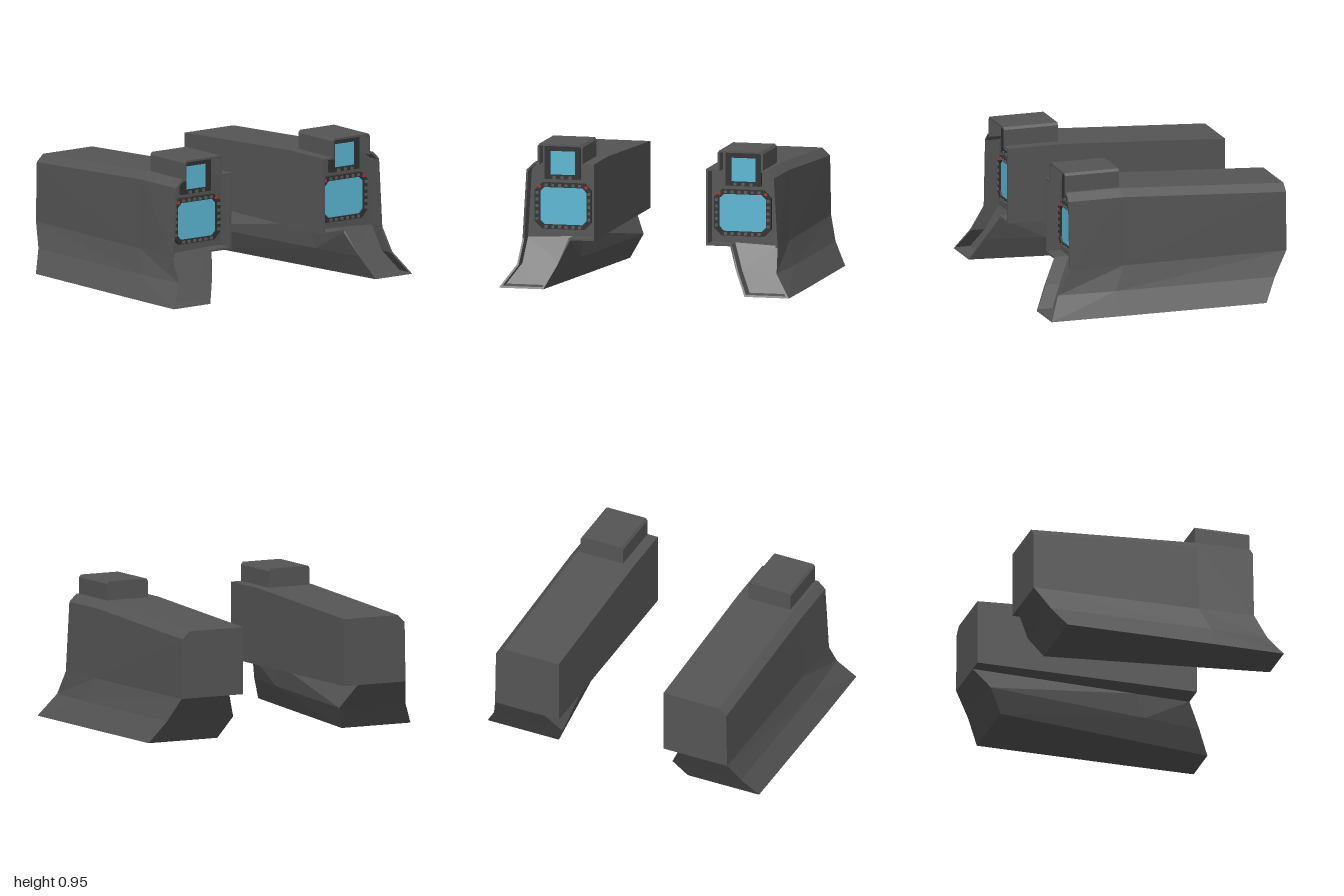
import * as THREE from 'three';

const mat = (color) => new THREE.MeshStandardMaterial({ color, flatShading: true });
const bodyMat = mat(0x555555);
const bezelMat = mat(0x303030);
const buttonMat = mat(0x5c5c5c);
const redMat = mat(0xb83030);
const glassMat = mat(0x5bb8d4);

const RECESS = 0.1, RIM = 0.013;

function mesh(name, geometry, material, x = 0, y = 0, z = 0) {
  const m = new THREE.Mesh(geometry, material);
  m.name = name;
  m.position.set(x, y, z);
  return m;
}

// Skins neighbouring closed loops of [x, y, z] points with flat quads
function loft(out, loops) {
  for (let i = 0; i < loops.length - 1; i++) {
    const p = loops[i], q = loops[i + 1], n = p.length;
    for (let j = 0; j < n; j++) {
      const k = (j + 1) % n;
      out.push(p[j], p[k], q[k], p[j], q[k], q[j]);
    }
  }
}

// Fills an outline in the y-z plane, facing +x (dir 1) or -x (dir -1)
function cap(out, pts, dir) {
  const flat = pts.map((p) => new THREE.Vector2(p[2], p[1]));
  for (const [a, b, c] of THREE.ShapeUtils.triangulateShape(flat, [])) {
    const area = flat[b].clone().sub(flat[a]).cross(flat[c].clone().sub(flat[a]));
    if (area * dir < 0) out.push(pts[a], pts[b], pts[c]);
    else out.push(pts[a], pts[c], pts[b]);
  }
}

// End cap of a console section: upright upper part, then two sloping bands
function endCap(out, loop, dir) {
  const n = loop.length;
  const [D, E, F, G, H, I, J] = loop.slice(n - 7);
  cap(out, [...loop.slice(0, n - 7), D, I, J], dir);
  cap(out, [I, D, E, H], dir);
  cap(out, [H, E, F, G], dir);
}

// Front edge of the console kicks forward towards the foot
function frontX(y) {
  if (y >= 0.31) return 0.68;
  return y > 0.15 ? 0.77 - (y - 0.15) * 0.5625 : 0.85 - y * 0.533;
}

// Mitred inward offset of a front loop
function inset(loop, d) {
  const n = loop.length;
  const normal = (a, b) => new THREE.Vector2(b[1] - a[1], a[2] - b[2]).normalize();
  return loop.map((p, i) => {
    const n1 = normal(loop[(i + n - 1) % n], p), n2 = normal(p, loop[(i + 1) % n]);
    const m = n1.clone().add(n2).multiplyScalar(d / (1 + n1.dot(n2)));
    const y = p[1] + m.y;
    return [frontX(y), y, p[2] + m.x];
  });
}

function bodyGeometry() {
  // Loops run: inner top, outer top, bevel, waist, flare, foot, and back up the inside
  const rear = [
    [-0.85, 0.76, 0.385], [-0.85, 0.76, 0.795], [-0.85, 0.71, 0.848], [-0.85, 0.31, 0.855],
    [-0.75, 0.15, 0.91], [-0.66, 0, 1], [-0.66, 0, 0.475], [-0.75, 0.15, 0.405],
    [-0.85, 0.31, 0.49], [-0.85, 0.31, 0.385],
  ];
  const mid = [
    [0.3, 0.825, 0.385], [0.3, 0.825, 0.795], [0.3, 0.775, 0.848], [0.3, 0.31, 0.865],
    [0.37, 0.15, 0.91], [0.37, 0, 1], [0.37, 0, 0.62], [0.37, 0.15, 0.555],
    [0.3, 0.31, 0.535], [0.3, 0.31, 0.385],
  ];
  const front = [
    [0.68, 0.825, 0.385], [0.68, 0.825, 0.795], [0.68, 0.775, 0.848], [0.68, 0.31, 0.875],
    [0.77, 0.15, 0.89], [0.85, 0, 0.995], [0.85, 0, 0.69], [0.77, 0.15, 0.615],
    [0.68, 0.31, 0.55], [0.68, 0.31, 0.385],
  ];
  // Raised hood spliced into the top edge
  const hood = (x) => [
    [x, 0.825, 0.462], [x, 0.935, 0.462], [x, 0.952, 0.475],
    [x, 0.952, 0.76], [x, 0.935, 0.773], [x, 0.825, 0.773],
  ];
  const withHood = (loop) => [loop[0], ...hood(loop[0][0]), ...loop.slice(1)];
  const frontLoop = withHood(front);
  const rim = inset(frontLoop, RIM);
  const floor = rim.map(([x, y, z]) => [x - RECESS, y, z]);

  const out = [];
  endCap(out, rear, -1);
  loft(out, [rear, mid]);
  cap(out, hood(0.3), -1);
  loft(out, [withHood(mid), frontLoop, rim, floor]);
  endCap(out, floor, 1);
  const g = new THREE.BufferGeometry();
  g.setAttribute('position', new THREE.Float32BufferAttribute(out.flat(), 3));
  g.computeVertexNormals();
  return g;
}

// Rectangle with cut corners, centred on the origin
function cutRect(w, h, c) {
  const a = w / 2, b = h / 2;
  return [[-a + c, -b], [a - c, -b], [a, -b + c], [a, b - c], [a - c, b], [-a + c, b], [-a, b - c], [-a, -b + c]]
    .map(([x, y]) => new THREE.Vector2(x, y));
}

// Plate facing +x, with an optional opening
function plate(outline, hole, depth) {
  const s = new THREE.Shape(outline);
  if (hole) s.holes.push(new THREE.Path(hole));
  return new THREE.ExtrudeGeometry(s, { depth, bevelEnabled: false }).rotateY(Math.PI / 2);
}

function display(name, y, z, outer, opening) {
  const g = new THREE.Group();
  g.name = name;
  g.position.set(0.68 - RECESS, y, z);
  const [hw, hh, hc, hy] = opening;
  const hole = cutRect(hw, hh, hc).map((p) => p.add(new THREE.Vector2(0, hy)));
  g.add(mesh('bezel', plate(cutRect(...outer), hole, 0.025), bezelMat));
  g.add(mesh('screen', plate(hole, null, 0.012), glassMat));
  return g;
}

function createConsole(name) {
  const g = new THREE.Group();
  g.name = name;
  g.add(mesh('consoleBody', bodyGeometry(), bodyMat));

  const button = new THREE.BoxGeometry(0.012, 0.018, 0.02);
  const addButton = (d, y, z, m = buttonMat, n = 'button') => d.add(mesh(n, button, m, 0.028, y, z));

  // Large lower display ringed by buttons
  const main = display('mainDisplay', 0.525, 0.615, [0.39, 0.31, 0.05], [0.32, 0.25, 0.03, 0]);
  for (const s of [-1, 1]) {
    for (let i = 0; i < 6; i++) addButton(main, s * 0.14, (i - 2.5) * 0.046);
    for (let i = 0; i < 5; i++) addButton(main, (i - 2) * 0.043, s * 0.178);
    addButton(main, 0.13, s * 0.16, redMat, 'redButton');
  }
  g.add(main);

  // Small upper display under the hood
  const upper = display('upperDisplay', 0.822, 0.62, [0.245, 0.232, 0.004], [0.17, 0.16, 0.002, -0.007]);
  for (let i = -1; i <= 1; i++) addButton(upper, -0.104, i * 0.055);
  g.add(upper);
  return g;
}

export function createModel() {
  const model = new THREE.Group();
  model.name = 'sideConsoles';
  const near = createConsole('frontConsole');
  const far = createConsole('backConsole');
  far.scale.z = -1;
  model.add(near, far);
  return model;
}
